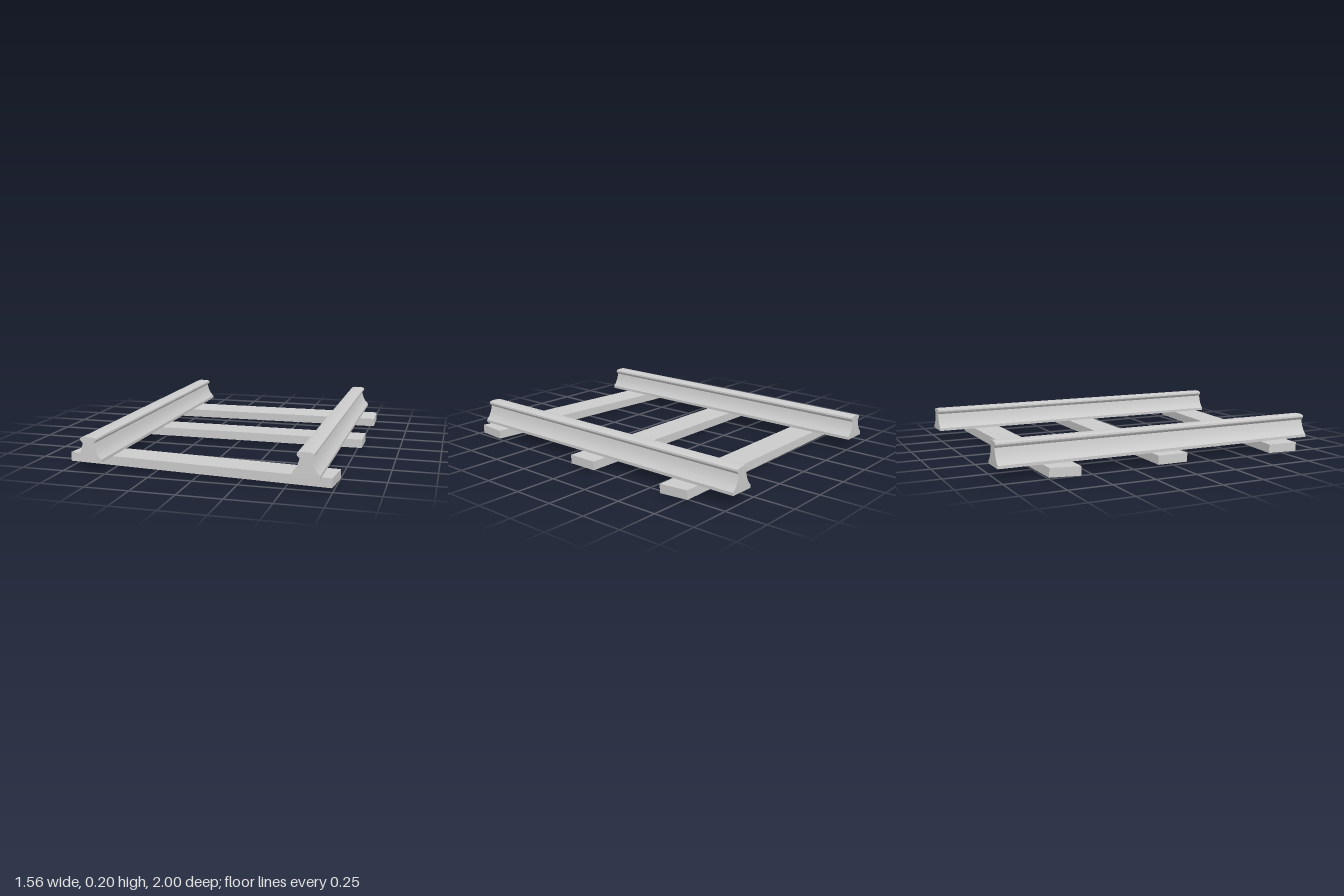
import * as THREE from 'three';
import { toCreasedNormals } from 'three/addons/utils/BufferGeometryUtils.js';

const material = new THREE.MeshStandardMaterial({ color: 0xcccccc });

// Half of the rail section as [half width, height], from foot to head
const halfSection = [
  [0.076, 0.062], [0.076, 0.079], [0.056, 0.1], [0.043, 0.125], [0.035, 0.15],
  [0.031, 0.166], [0.043, 0.177], [0.046, 0.184], [0.044, 0.194], [0.024, 0.2],
];

function railGeometry() {
  const mirrored = halfSection.map(([x, y]) => [-x, y]).reverse();
  const points = [...halfSection, ...mirrored].map(([x, y]) => new THREE.Vector2(x, y));
  const geometry = new THREE.ExtrudeGeometry(new THREE.Shape(points), { depth: 2, bevelEnabled: false });
  geometry.translate(0, 0, -1);
  return toCreasedNormals(geometry, 0.5);
}

export function createModel() {
  const track = new THREE.Group();
  track.name = 'railTrack';

  // Two parallel rails
  const rail = railGeometry();
  for (const [name, x] of [['rightRail', -0.592], ['leftRail', 0.608]]) {
    const mesh = new THREE.Mesh(rail, material);
    mesh.name = name;
    mesh.position.x = x;
    track.add(mesh);
  }

  // Loosely laid sleepers, each with its own small roll and turn
  const sleeper = new THREE.BoxGeometry(1.53, 0.052, 0.185);
  const sleepers = [
    { name: 'backSleeper', position: [0.01, 0.031, -0.67], roll: 0.05, turn: 0.016 },
    { name: 'middleSleeper', position: [0.014, 0.037, -0.003], roll: 0, turn: 0 },
    { name: 'frontSleeper', position: [-0.014, 0.037, 0.805], roll: 0, turn: -0.085 },
  ];
  for (const { name, position, roll, turn } of sleepers) {
    const mesh = new THREE.Mesh(sleeper, material);
    mesh.name = name;
    mesh.position.set(...position);
    mesh.rotation.set(roll, turn, 0, 'YXZ');
    track.add(mesh);
  }
  return track;
}
